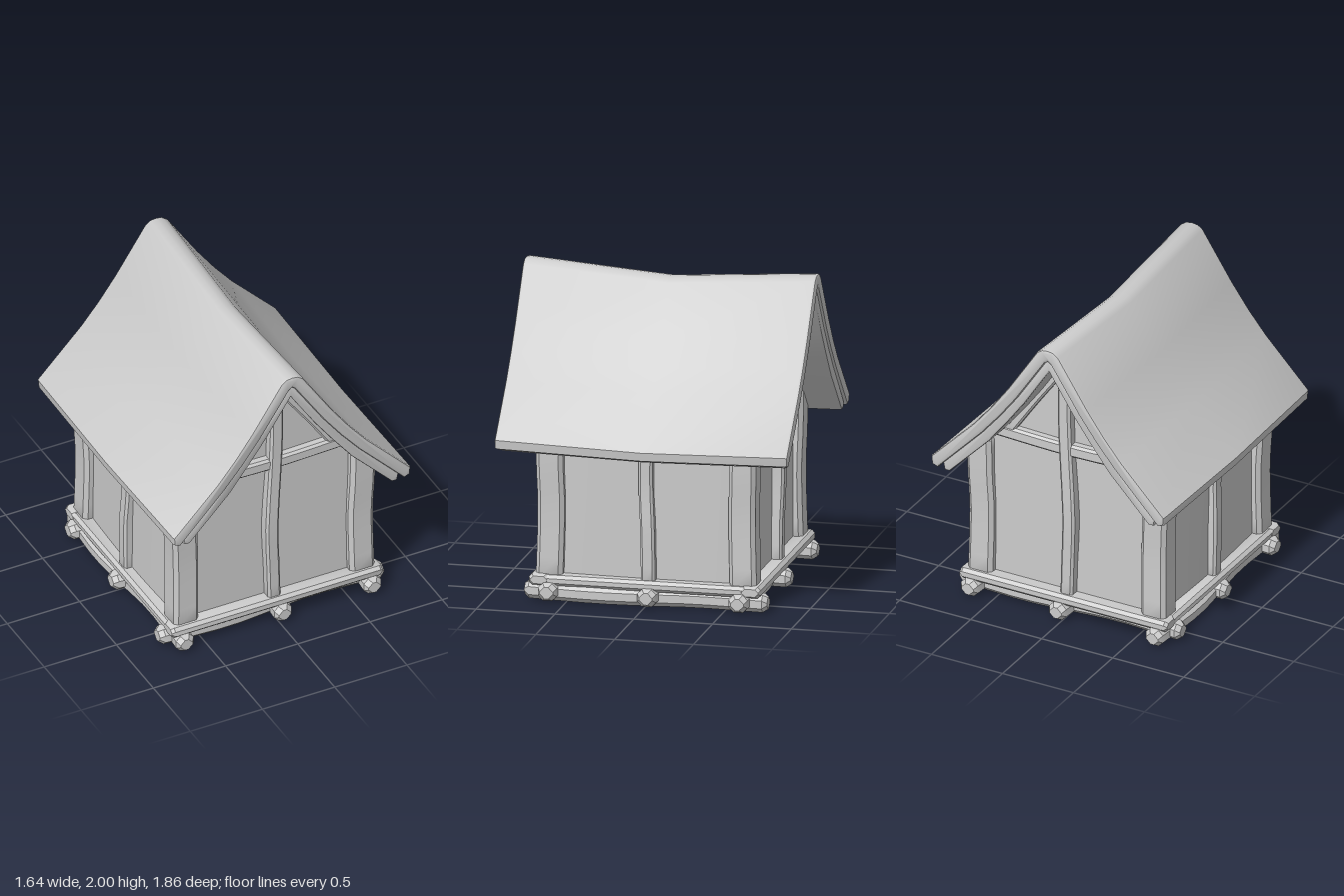
import * as THREE from 'three';
import { toCreasedNormals } from 'three/addons/utils/BufferGeometryUtils.js';

const material = new THREE.MeshStandardMaterial({ color: 0xcccccc });
const V = (x, y, z) => new THREE.Vector3(x, y, z);

function add(parent, name, geometry, crease = 0.6) {
  const mesh = new THREE.Mesh(toCreasedNormals(geometry, crease), material);
  mesh.name = name;
  parent.add(mesh);
}

// Hand-hewn timber: a chamfered rectangle swept along a gently bent path.
// u is the section's first axis; wu and wv are the widths across it.
function timber(points, u, wu, wv, chamfer = 0.02) {
  const curve = new THREE.CatmullRomCurve3(points.map((p) => V(...p)));
  const path = points.length > 2 ? curve.getPoints(10) : curve.getPoints(1);
  const d = path[path.length - 1].clone().sub(path[0]).normalize();
  u = V(...u).normalize();
  const v = d.clone().cross(u).normalize();
  const ring = (p, inset, shift) => {
    const a = wu / 2 - inset, b = wv / 2 - inset, c = chamfer;
    return [[a, -b + c], [a, b - c], [a - c, b], [-a + c, b], [-a, b - c], [-a, -b + c], [-a + c, -b], [a - c, -b]]
      .map(([s, t]) => p.clone().addScaledVector(u, s).addScaledVector(v, t).addScaledVector(d, shift));
  };
  const last = path.length - 1;
  const rings = [ring(path[0], chamfer * 0.6, 0)];
  path.forEach((p, i) => rings.push(ring(p, 0, i === 0 ? chamfer : i === last ? -chamfer : 0)));
  rings.push(ring(path[last], chamfer * 0.6, 0));
  const verts = rings.flat(), index = [];
  for (let r = 0; r < rings.length - 1; r++) {
    for (let i = 0; i < 8; i++) {
      const a = r * 8 + i, b = r * 8 + (i + 1) % 8;
      index.push(a, b, b + 8, a, b + 8, a + 8);
    }
  }
  const end = (rings.length - 1) * 8;
  for (let i = 1; i < 7; i++) index.push(0, i + 1, i, end, end + i, end + i + 1);
  const g = new THREE.BufferGeometry().setFromPoints(verts);
  g.setIndex(index);
  return g;
}

// Closed shape from a right-hand half profile mirrored in x
const mirrored = (half) => half.map(([x, y]) => [-x, y]).reverse();

// Roof layer: bent strip between two half profiles, sagging at mid length
function roofLayer(outer, inner, length, bevel) {
  const outline = [...mirrored(outer), ...outer.slice(1), ...inner.slice().reverse(), ...mirrored(inner).reverse().slice(1)];
  const shape = new THREE.Shape(outline.map(([x, y]) => new THREE.Vector2(x, y)));
  const depth = length - 2 * bevel;
  const g = new THREE.ExtrudeGeometry(shape, {
    depth, steps: 2, bevelThickness: bevel, bevelSize: bevel, bevelOffset: -bevel, bevelSegments: 2,
  });
  g.translate(0, 0, -depth / 2);
  const p = g.attributes.position;
  for (let i = 0; i < p.count; i++) {
    const t = 1 - Math.abs(p.getZ(i)) / (length / 2);
    p.setY(i, p.getY(i) - t * (0.02 + 0.045 * (p.getY(i) - 0.95)));
  }
  return g;
}

export function createModel() {
  const house = new THREE.Group();
  house.name = 'timberHouse';

  // Foundation: two crossing layers of three bent beams
  const foundation = new THREE.Group();
  foundation.name = 'foundation';
  house.add(foundation);
  for (const [x, z] of [[-0.65, 0.61], [0.03, -0.02], [0.65, -0.6]]) {
    const bend = 0.025;
    add(foundation, 'lengthwiseBeam', timber(
      [[x, 0.06, -0.77], [x - bend, 0.057, -0.3], [x, 0.055, 0], [x + bend, 0.057, 0.3], [x, 0.06, 0.77]],
      [1, 0, 0], 0.12, 0.11, 0.03));
    add(foundation, 'crosswiseBeam', timber(
      [[-0.775, 0.068, z], [-0.3, 0.068, z + bend], [0, 0.068, z], [0.3, 0.068, z - bend], [0.775, 0.068, z]],
      [0, 1, 0], 0.11, 0.12, 0.03));
  }

  // Walls: house body with gable ends, sides slightly bowed
  const half = [[0, 1.86], [0.2, 1.57], [0.43, 1.23], [0.645, 1.02], [0.645, 0.12]];
  const wallShape = new THREE.Shape([...mirrored(half), ...half.slice(1)].map(([x, y]) => new THREE.Vector2(x, y)));
  const walls = new THREE.ExtrudeGeometry(wallShape, { depth: 1.28, steps: 8, bevelEnabled: false });
  walls.translate(0, 0, -0.64);
  const wp = walls.attributes.position;
  for (let i = 0; i < wp.count; i++) {
    wp.setX(i, wp.getX(i) * (0.98 + 0.03 * Math.cos(wp.getZ(i) * 2.4)));
  }
  add(house, 'walls', walls);

  // Sill, corner posts and side posts
  const frame = new THREE.Group();
  frame.name = 'timberFrame';
  house.add(frame);
  for (const s of [-1, 1]) {
    add(frame, 'endSill', timber([[-0.73, 0.136, s * 0.67], [0.73, 0.136, s * 0.67]], [0, 1, 0], 0.072, 0.13));
    add(frame, 'sideSill', timber([[s * 0.665, 0.134, -0.73], [s * 0.665, 0.134, 0.73]], [0, 1, 0], 0.068, 0.125));
    add(frame, 'sidePost', timber(
      [[s * 0.655, 0.13, -0.015], [s * 0.66, 0.5, -0.01], [s * 0.65, 0.75, 0.002], [s * 0.655, 1.05, 0]],
      [1, 0, 0], 0.09, 0.09, 0.015));
    for (const e of [-1, 1]) {
      add(frame, 'cornerPost', timber(
        [[s * 0.61, 0.13, e * 0.615], [s * 0.605, 0.6, e * 0.605], [s * 0.615, 0.85, e * 0.612], [s * 0.618, 1.12, e * 0.615]],
        [1, 0, 0], 0.172, 0.17, 0.025));
    }
  }

  // Gable framing: king post, tie beam and two braces at each end
  for (const e of [-1, 1]) {
    const gable = new THREE.Group();
    gable.name = e > 0 ? 'frontGable' : 'backGable';
    house.add(gable);
    const z = e * 0.65;
    add(gable, 'kingPost', timber(
      [[-0.005, 0.13, z], [-0.012, 0.4, z], [-0.025, 0.7, z + e * 0.01], [0, 1.1, z], [0.012, 1.4, z], [0.012, 1.85, z]],
      [1, 0, 0], 0.088, 0.11, 0.015));
    add(gable, 'tieBeam', timber(
      [[-0.54, 1.195, z], [0, 1.18, z], [0.54, 1.195, z]], [0, 1, 0], 0.085, 0.09, 0.015));
    for (const s of [-1, 1]) {
      add(gable, 'brace', timber(
        [[s * 0.42, 1.2, z], [s * 0.215, 1.5, z], [s * 0.01, 1.78, z]], [s * 0.82, 0.57, 0], 0.07, 0.08, 0.012));
    }
  }

  // Roof: thick outer covering over a slightly shorter inner layer
  const top = [[0, 2.0], [0.04, 1.995], [0.075, 1.97], [0.28, 1.655], [0.4, 1.49], [0.52, 1.345], [0.82, 1.035], [0.815, 0.98]];
  const middle = [[0, 1.92], [0.02, 1.905], [0.22, 1.6], [0.34, 1.44], [0.465, 1.29], [0.775, 0.965]];
  const under = [[0, 1.84], [0.17, 1.575], [0.29, 1.41], [0.425, 1.235], [0.7, 0.95]];
  const middleTop = [[0, 1.93], [0.03, 1.91], [0.23, 1.61], [0.35, 1.45], [0.47, 1.3], [0.745, 1.0], [0.735, 0.95]];
  const roof = new THREE.Group();
  roof.name = 'roof';
  house.add(roof);
  add(roof, 'roofCovering', roofLayer(top, middle, 1.86, 0.018), 0.75);
  add(roof, 'roofLining', roofLayer(middleTop, under, 1.82, 0.012), 0.75);

  return house;
}
